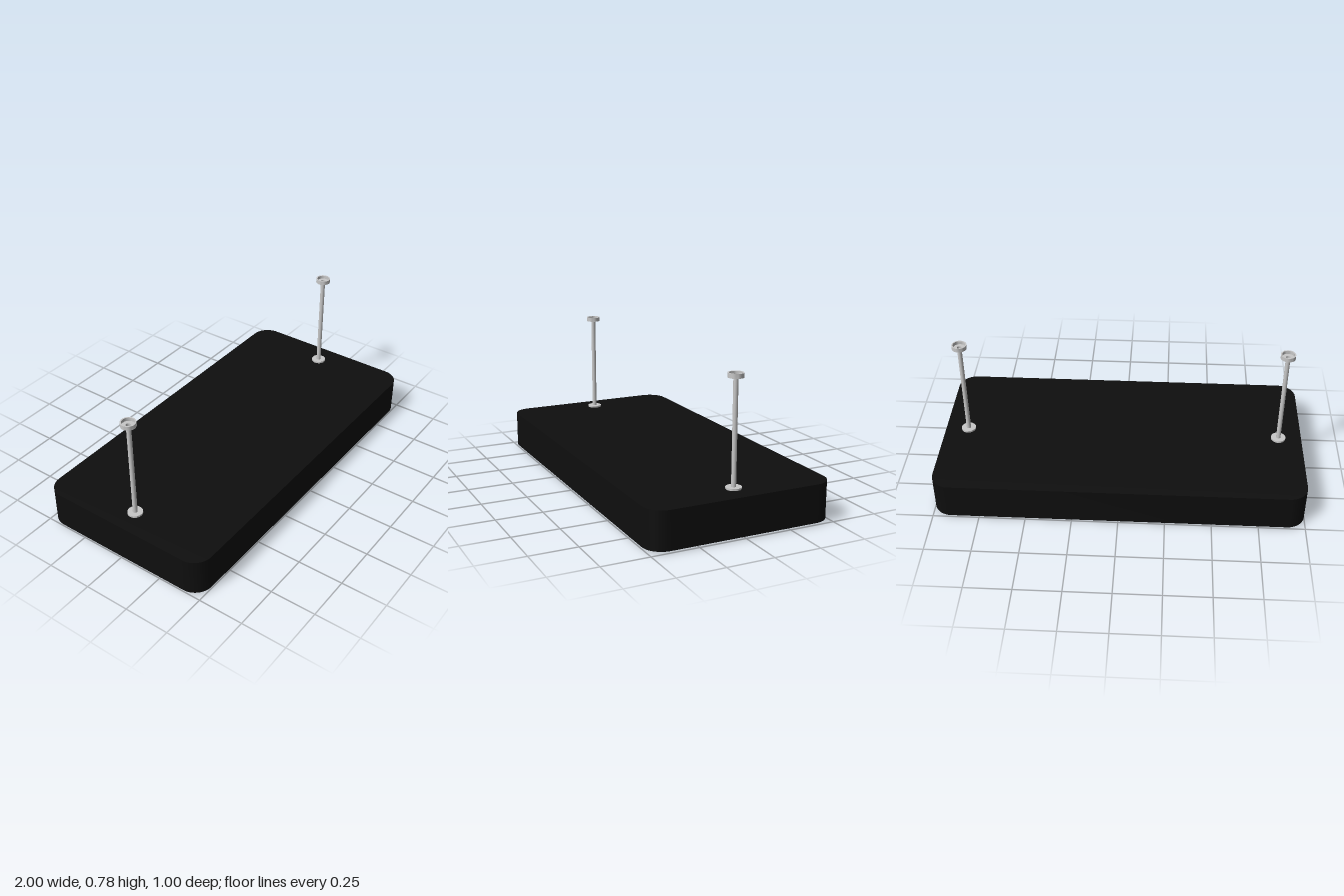
import * as THREE from 'three';
import { toCreasedNormals } from 'three/addons/utils/BufferGeometryUtils.js';

const black = new THREE.MeshStandardMaterial({ color: 0x0e0e0e });
black.name = 'black housing';
const metal = new THREE.MeshStandardMaterial({ color: 0xc8c8c8, side: THREE.DoubleSide });
metal.name = 'brushed metal';
const frosted = new THREE.MeshStandardMaterial({ color: 0xd0cdcd });
frosted.name = 'frosted diffuser';

function add(parent, name, geometry, material) {
  const mesh = new THREE.Mesh(geometry, material);
  mesh.name = name;
  parent.add(mesh);
  return mesh;
}

// Rounded rectangle centred on the origin
function roundedRect(hw, hd, r) {
  const s = new THREE.Shape();
  s.moveTo(hw, -hd + r);
  s.absarc(hw - r, hd - r, r, 0, Math.PI / 2);
  s.absarc(-hw + r, hd - r, r, Math.PI / 2, Math.PI);
  s.absarc(-hw + r, -hd + r, r, Math.PI, Math.PI * 1.5);
  s.absarc(hw - r, -hd + r, r, Math.PI * 1.5, Math.PI * 2);
  return s;
}

// Horizontal slab rising from y0
function slab(shape, y0, options) {
  const g = new THREE.ExtrudeGeometry(shape, { curveSegments: 12, ...options });
  g.rotateX(-Math.PI / 2);
  g.translate(0, y0, 0);
  return toCreasedNormals(g, 0.6);
}

function lathe(points) {
  const g = new THREE.LatheGeometry(points.map(([r, y]) => new THREE.Vector2(r, y)), 24);
  return toCreasedNormals(g, 0.6);
}

export function createModel() {
  const model = new THREE.Group();
  model.name = 'pendantLamp';

  // Housing and the light panel protruding below it
  add(model, 'housing', slab(roundedRect(1, 0.5, 0.1), 0.01,
    { depth: 0.2, bevelEnabled: false }), black);
  add(model, 'diffuser', slab(roundedRect(0.974, 0.474, 0.08), 0.006,
    { depth: 0.01, bevelThickness: 0.006, bevelSize: 0.006, bevelSegments: 3 }), frosted);

  // Hollow suspension rods with a base flange and a ceiling cup
  for (const side of [1, -1]) {
    const rod = new THREE.Group();
    rod.name = side > 0 ? 'leftSuspension' : 'rightSuspension';
    rod.position.x = side * 0.872;
    model.add(rod);
    add(rod, 'tube', new THREE.CylinderGeometry(0.0125, 0.0125, 0.552, 16, 1, true)
      .translate(0, 0.486, 0), metal);
    add(rod, 'baseFlange', lathe([[0.04, 0.209], [0.04, 0.22], [0.0125, 0.22]]), metal);
    add(rod, 'ceilingCup', lathe([[0.0125, 0.757], [0.04, 0.757], [0.04, 0.78],
      [0.033, 0.78], [0.033, 0.762], [0.0125, 0.762]]), metal);
  }
  return model;
}
